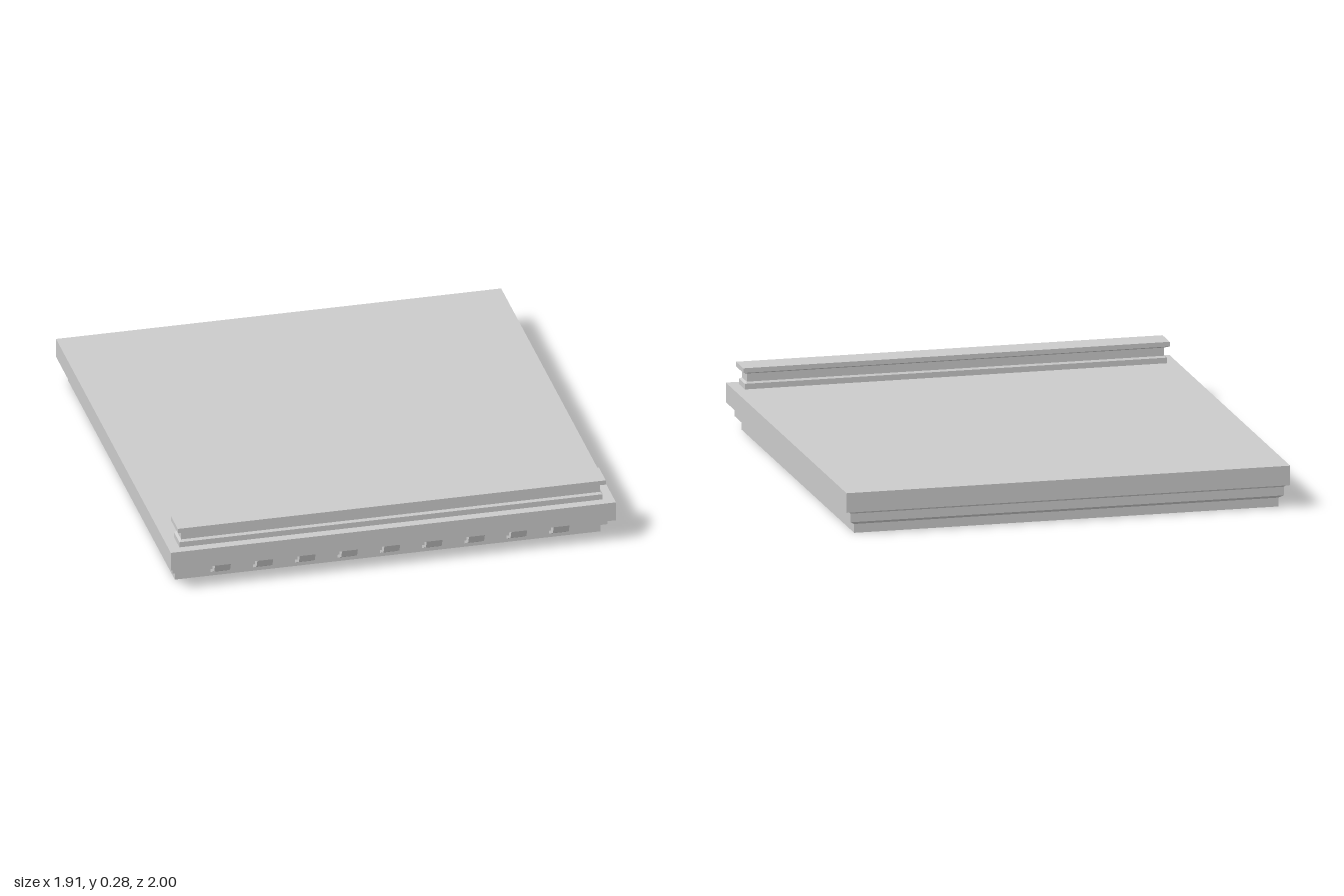
import * as THREE from 'three';

const material = new THREE.MeshStandardMaterial({ color: 0xcccccc, flatShading: true });

// Stack of rectangular rings, bottom to top: [y, half width, back z, front z], capped at both ends
function rectLoft(name, rings) {
  const positions = [];
  const index = [];
  rings.forEach(([y, w, back, front]) => {
    positions.push(-w, y, front, w, y, front, w, y, back, -w, y, back);
  });
  for (let r = 0; r < rings.length - 1; r++) {
    for (let i = 0; i < 4; i++) {
      const a = r * 4 + i;
      const b = r * 4 + ((i + 1) % 4);
      index.push(a, b, b + 4, a, b + 4, a + 4);
    }
  }
  const t = (rings.length - 1) * 4;
  index.push(0, 2, 1, 0, 3, 2, t, t + 1, t + 2, t, t + 2, t + 3);
  const indexed = new THREE.BufferGeometry();
  indexed.setAttribute('position', new THREE.Float32BufferAttribute(positions, 3));
  indexed.setIndex(index);
  const geometry = indexed.toNonIndexed();
  geometry.computeVertexNormals();
  const mesh = new THREE.Mesh(geometry, material);
  mesh.name = name;
  return mesh;
}

export function createModel() {
  const model = new THREE.Group();
  model.name = 'corniceSlab';

  // Flat top slab
  model.add(rectLoft('slab', [
    [0.097, 0.957, -1, 1],
    [0.181, 0.957, -1, 1],
  ]));

  // Stepped moulding under the slab, set back further at the front
  model.add(rectLoft('lowerMoulding', [
    [0, 0.915, -0.965, 0.9],
    [0.038, 0.915, -0.965, 0.9],
    [0.05, 0.935, -0.98, 0.938],
    [0.087, 0.935, -0.98, 0.938],
    [0.097, 0.945, -0.988, 0.95],
  ]));

  // Raised rail along the front edge: foot, web and cap
  model.add(rectLoft('rail', [
    [0.181, 0.91, 0.863, 0.96],
    [0.205, 0.91, 0.863, 0.96],
    [0.212, 0.9, 0.871, 0.949],
    [0.247, 0.9, 0.871, 0.949],
    [0.255, 0.92, 0.852, 0.972],
    [0.275, 0.92, 0.852, 0.972],
  ]));

  // Row of nine small brackets under the front overhang
  const profile = new THREE.Shape([
    [0.88, 0.097], [0.88, 0.016], [0.9, 0.016], [0.967, 0.053], [0.985, 0.097],
  ].map(([z, y]) => new THREE.Vector2(-z, y)));
  const width = 0.068;
  const bracketGeometry = new THREE.ExtrudeGeometry(profile, { depth: width, bevelEnabled: false });
  bracketGeometry.translate(0, 0, -width / 2);
  bracketGeometry.rotateY(Math.PI / 2);
  const brackets = new THREE.Group();
  brackets.name = 'brackets';
  for (let i = -4; i <= 4; i++) {
    const bracket = new THREE.Mesh(bracketGeometry, material);
    bracket.name = 'bracket';
    bracket.position.x = i * 0.182;
    brackets.add(bracket);
  }
  model.add(brackets);
  return model;
}
